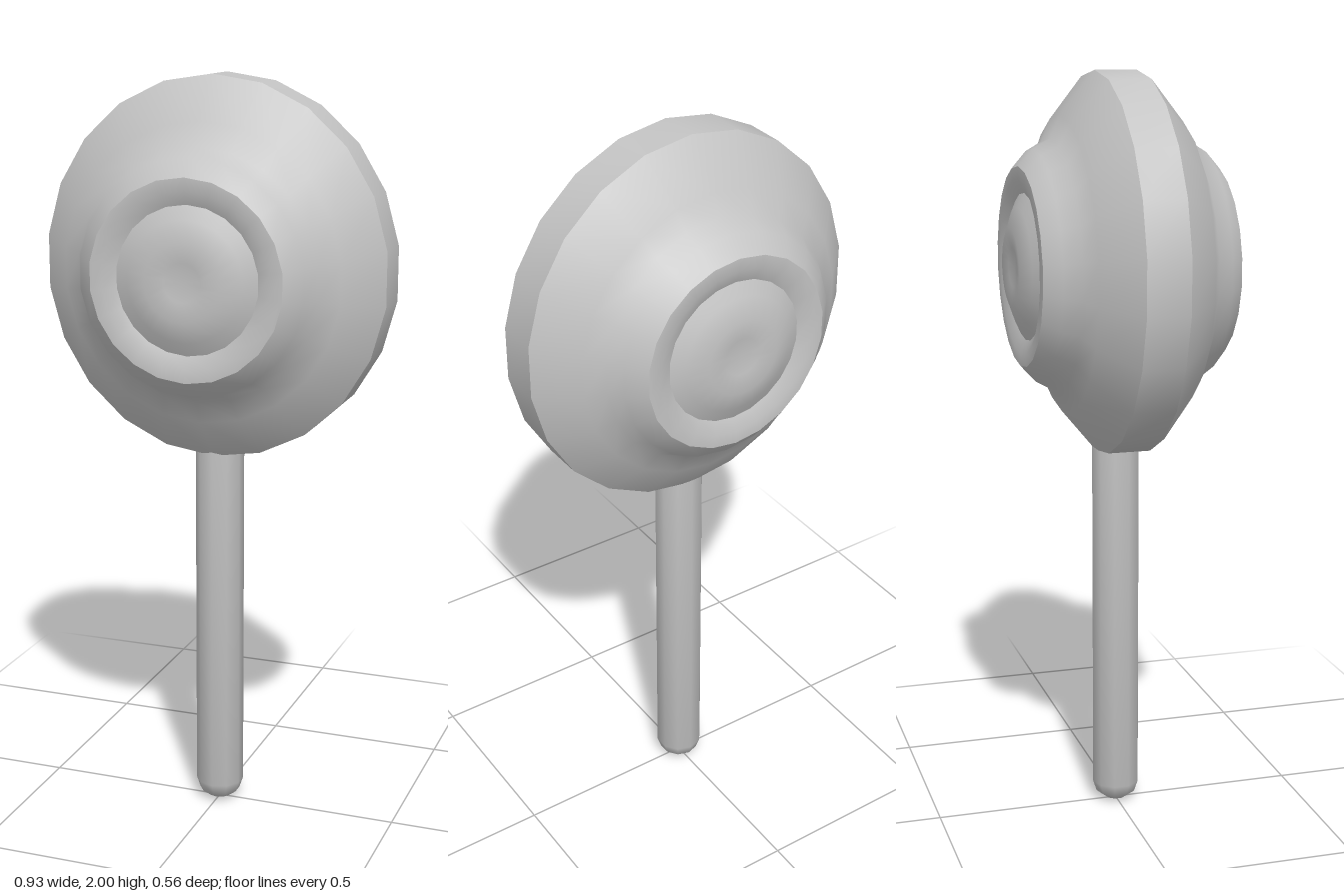
import * as THREE from 'three';
import { toCreasedNormals } from 'three/addons/utils/BufferGeometryUtils.js';

const points = (list) => list.map(([r, y]) => new THREE.Vector2(r, y));

export function createModel() {
  const group = new THREE.Group();
  group.name = 'lollipop';
  const grey = new THREE.MeshStandardMaterial({ color: 0xc4c4c4 });
  grey.name = 'plain grey';

  // Candy head: stepped disc, mirrored front to back, with a ring ridge and a central boss
  const half = [
    [0.468, 0.056], [0.375, 0.148], [0.325, 0.174], [0.302, 0.218], [0.258, 0.258],
    [0.225, 0.258], [0.19, 0.243], [0.155, 0.26], [0.1, 0.281], [0.05, 0.275], [0, 0.27],
  ];
  const profile = [...half.map(([r, z]) => [r, -z]).reverse(), ...half];
  const headGeometry = new THREE.LatheGeometry(points(profile), 22);
  headGeometry.rotateX(Math.PI / 2);
  // Slightly taller rim than it is wide, while the inner steps stay round
  const pos = headGeometry.attributes.position;
  for (let i = 0; i < pos.count; i++) {
    const r = Math.hypot(pos.getX(i), pos.getY(i));
    const stretch = 1 + 0.06 * THREE.MathUtils.smoothstep(r, 0.3, 0.468);
    pos.setY(i, pos.getY(i) * stretch);
  }
  const head = new THREE.Mesh(toCreasedNormals(headGeometry, 0.7), grey);
  head.name = 'candyHead';
  head.position.y = 1.504;
  group.add(head);

  // Stick with a rounded foot, running up into the candy
  const stickGeometry = new THREE.LatheGeometry(
    points([[0, 0], [0.03, 0.006], [0.055, 0.025], [0.065, 0.055], [0.065, 1.06]]), 10);
  const stick = new THREE.Mesh(toCreasedNormals(stickGeometry, 0.9), grey);
  stick.name = 'stick';
  group.add(stick);

  return group;
}
